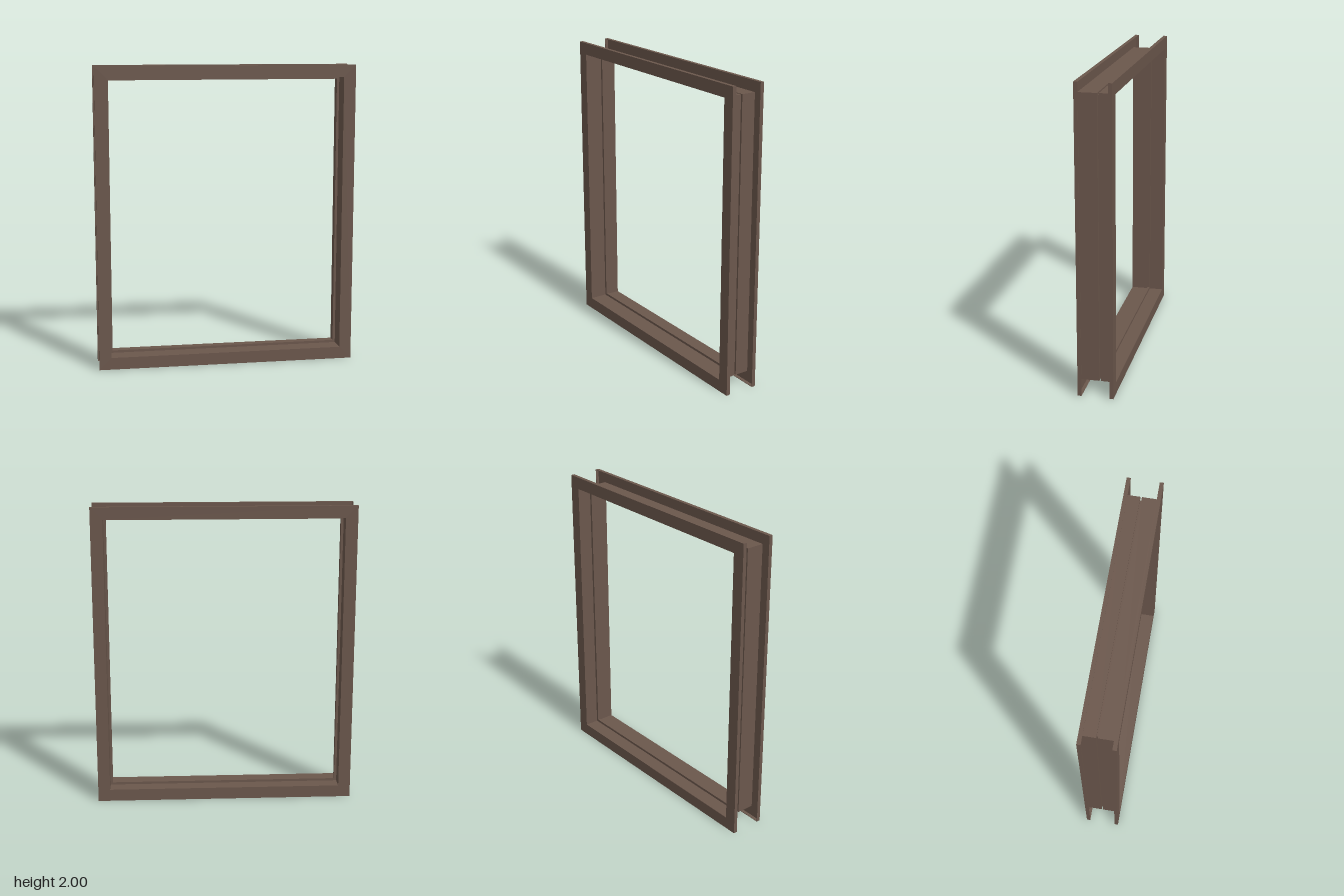
import * as THREE from 'three';

const HALF_W = 0.86, HALF_H = 1, SHEET = 0.003;

// Folded sheet section as (inset from outer edge, z): return lip, face, web with groove, face, return lip
const path = [
  [0, 0.09], [0, 0.115], [0.08, 0.115],
  [0.08, -0.004], [0.096, -0.004], [0.096, -0.02], [0.08, -0.02],
  [0.08, -0.115], [0, -0.115], [0, -0.09],
];

// Gives the folded line its sheet thickness by offsetting it into the channel
function thicken(line, t) {
  const normal = (i) => {
    const [a, b] = [line[i], line[i + 1]];
    if (!a || !b) return [0, 0];
    return [Math.sign(b[1] - a[1]), -Math.sign(b[0] - a[0])];
  };
  const inner = line.map(([d, z], i) => {
    const n = normal(i - 1), m = normal(i);
    return [d + (n[0] + m[0]) * t, z + (n[1] + m[1]) * t];
  });
  return [...line, ...inner.reverse()];
}

// One member of the frame, mitred between two corners
function memberGeometry(section, from, to) {
  const place = ([sx, sy], [d, z]) => [sx * (HALF_W - d), HALF_H + sy * (HALF_H - d), z];
  const positions = [];
  section.forEach((p, i) => {
    const q = section[(i + 1) % section.length];
    const a = place(from, p), b = place(to, p), c = place(to, q), e = place(from, q);
    positions.push(...a, ...b, ...c, ...a, ...c, ...e);
  });
  const geometry = new THREE.BufferGeometry();
  geometry.setAttribute('position', new THREE.Float32BufferAttribute(positions, 3));
  geometry.computeVertexNormals();
  return geometry;
}

export function createModel() {
  const group = new THREE.Group();
  group.name = 'windowFrame';
  const material = new THREE.MeshStandardMaterial({ color: 0x6b574c, side: THREE.DoubleSide });
  const section = thicken(path, SHEET);
  const corners = [[1, 1], [-1, 1], [-1, -1], [1, -1]];

  // Head, two jambs and sill share the same section
  ['head', 'rightJamb', 'sill', 'leftJamb'].forEach((name, i) => {
    const mesh = new THREE.Mesh(memberGeometry(section, corners[i], corners[(i + 1) % 4]), material);
    mesh.name = name;
    group.add(mesh);
  });
  return group;
}
